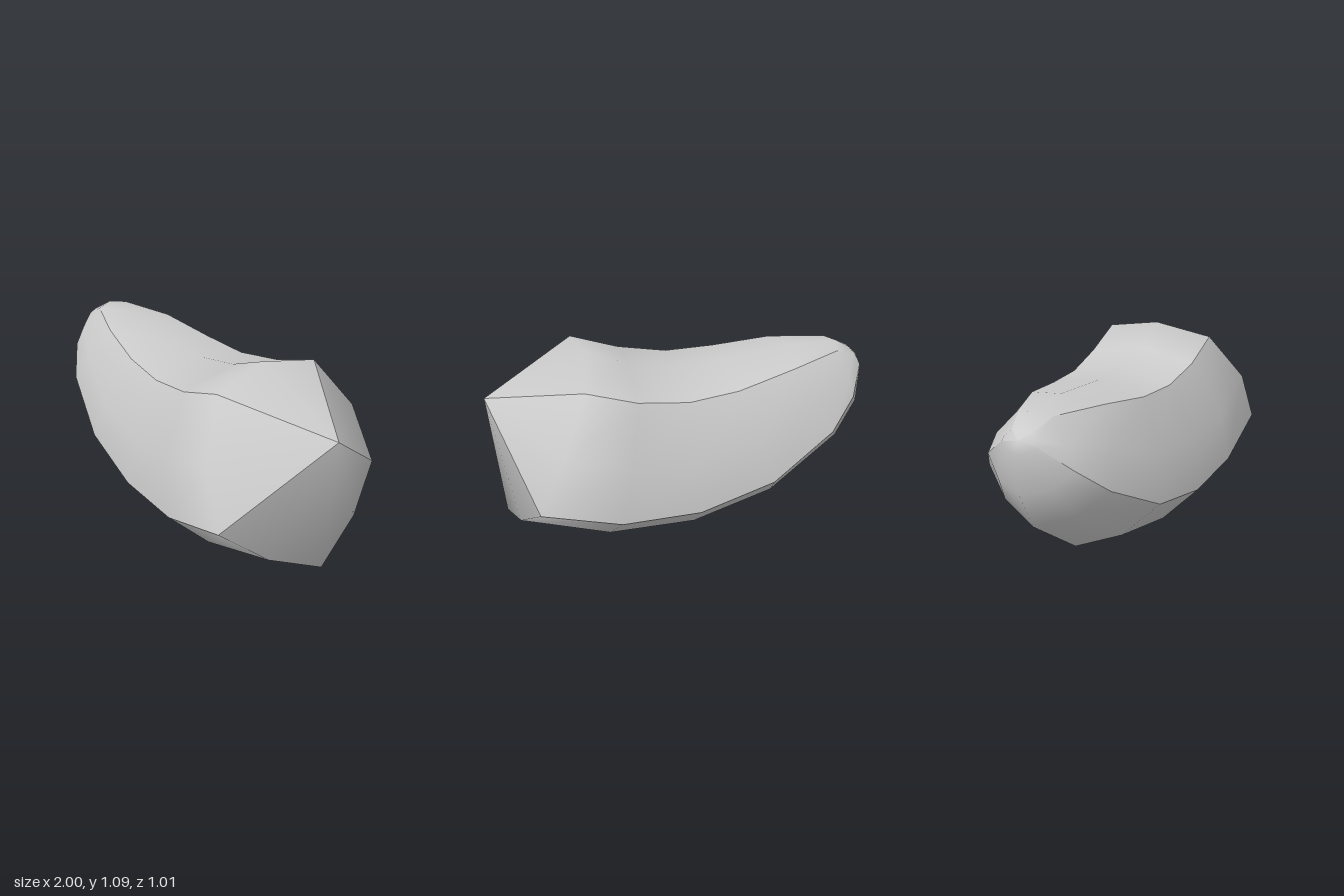
import * as THREE from 'three';

// Half cross-sections from the blunt end to the slim end, each listed
// top, ridge, side, widest, lower, bottom as [x, y, z].
const sections = [
  [[0.49, 1.09, 0], [0.53, 1.03, 0.305], [0.66, 0.785, 0.47], [0.8, 0.505, 0.505], [0.9, 0.32, 0.285], [0.97, 0.18, 0]],
  [[0.28, 1, 0], [0.28, 0.94, 0.3], [0.34, 0.65, 0.46], [0.41, 0.37, 0.495], [0.45, 0.145, 0.28], [0.49, 0.015, 0]],
  [[0.04, 0.95, 0], [0.02, 0.895, 0.28], [0.01, 0.62, 0.435], [0, 0.345, 0.465], [-0.01, 0.135, 0.275], [-0.02, 0, 0]],
  [[-0.22, 0.955, 0], [-0.24, 0.91, 0.255], [-0.32, 0.67, 0.39], [-0.4, 0.435, 0.42], [-0.45, 0.245, 0.24], [-0.5, 0.145, 0]],
  [[-0.6, 1, 0], [-0.54, 0.96, 0.195], [-0.64, 0.81, 0.29], [-0.74, 0.635, 0.325], [-0.82, 0.52, 0.19], [-0.88, 0.445, 0]],
  [[-0.85, 0.995, 0], [-0.82, 0.98, 0.09], [-0.86, 0.87, 0.185], [-0.88, 0.77, 0.225], [-0.94, 0.69, 0.135], [-0.98, 0.65, 0]],
  [[-0.93, 0.945, 0], [-0.935, 0.935, 0.05], [-0.95, 0.91, 0.08], [-0.96, 0.885, 0.09], [-0.985, 0.86, 0.05], [-1, 0.85, 0]],
];
const bluntTip = [1, 0.89, 0];
const slimTip = [-0.97, 0.905, 0];

// Mirror each half into a closed ring of ten points
const rings = sections.map((half) => [
  ...half,
  ...half.slice(1, 5).reverse().map(([x, y, z]) => [x, y, -z]),
]);

// One smooth lengthwise band; neighbouring bands meet in a sharp edge
function band(name, columns, material) {
  const w = columns.length;
  const points = [bluntTip, ...rings.flatMap((r) => columns.map((c) => r[c])), slimTip];
  const last = points.length - 1;
  const id = (row, col) => 1 + row * w + col;
  const index = [];
  for (let c = 0; c < w - 1; c++) {
    index.push(0, id(0, c), id(0, c + 1));
    for (let r = 0; r < rings.length - 1; r++) {
      const a = id(r, c), b = id(r + 1, c), d = id(r, c + 1), e = id(r + 1, c + 1);
      index.push(a, b, e, a, e, d);
    }
    index.push(id(rings.length - 1, c), last, id(rings.length - 1, c + 1));
  }
  const geometry = new THREE.BufferGeometry();
  geometry.setAttribute('position', new THREE.Float32BufferAttribute(points.flat(), 3));
  geometry.setIndex(index);
  geometry.computeVertexNormals();
  const mesh = new THREE.Mesh(geometry, material);
  mesh.name = name;
  return mesh;
}

export function createModel() {
  const group = new THREE.Group();
  group.name = 'curvedPod';
  const material = new THREE.MeshStandardMaterial({ color: 0xcccccc });
  group.add(
    band('topBand', [9, 0, 1], material),
    band('frontSide', [1, 2, 3], material),
    band('underside', [3, 4, 5, 6, 7], material),
    band('backSide', [7, 8, 9], material),
  );
  return group;
}
